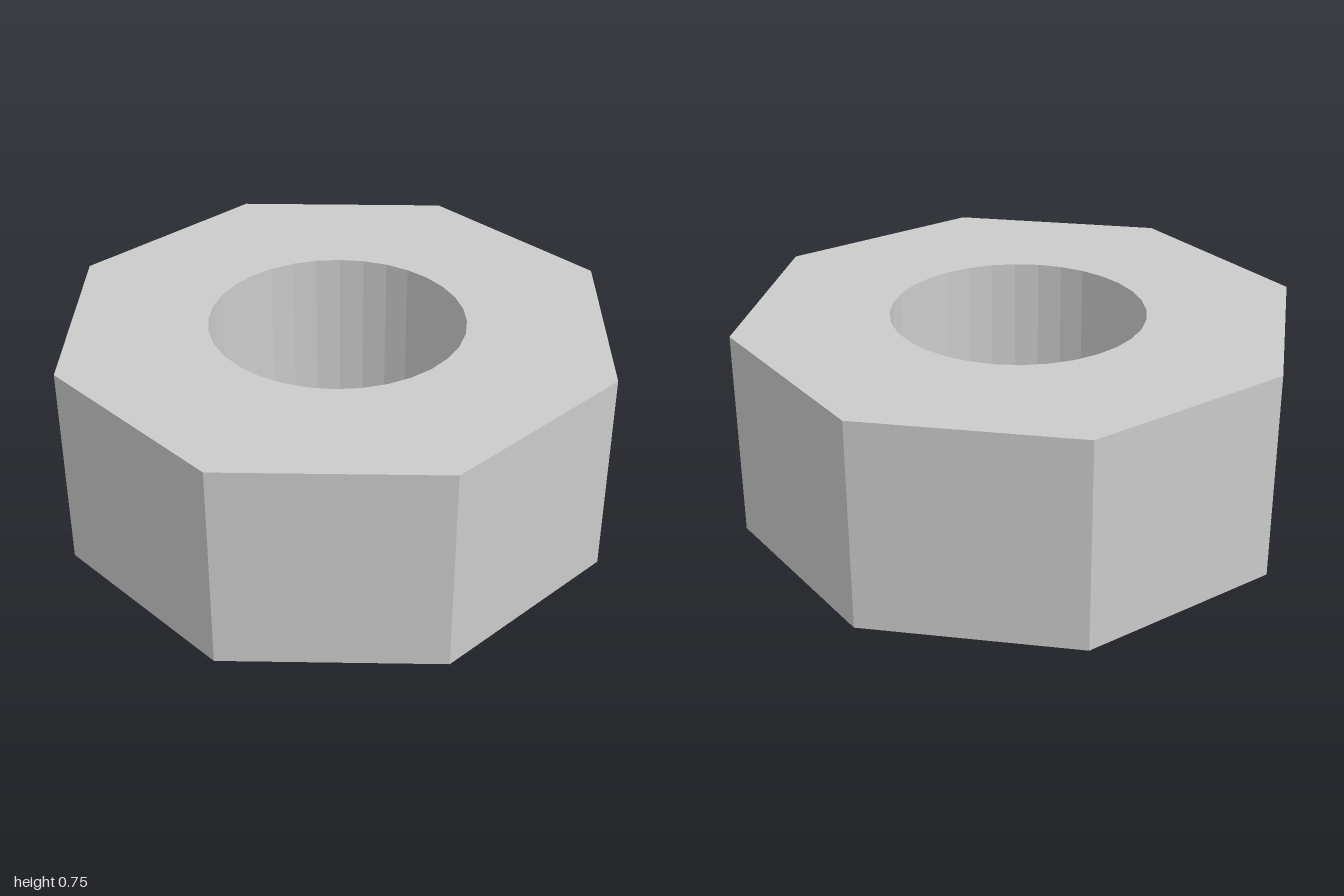
import * as THREE from 'three';

const HEIGHT = 0.75;
const OUTER_RADIUS = 1;
const HOLE_RADIUS = 0.45;

// Corners of a regular polygon, the first one on the x axis
function polygon(radius, sides) {
  return Array.from({ length: sides }, (_, i) => {
    const a = (i / sides) * Math.PI * 2;
    return new THREE.Vector2(radius * Math.cos(a), radius * Math.sin(a));
  });
}

export function createModel() {
  const group = new THREE.Group();
  group.name = 'octagonalNut';

  // Octagonal outline with a round bore
  const outline = new THREE.Shape(polygon(OUTER_RADIUS, 8));
  outline.holes.push(new THREE.Path(polygon(HOLE_RADIUS, 32)));

  // Extruded along z, then laid flat so the height runs up y
  const geometry = new THREE.ExtrudeGeometry(outline, { depth: HEIGHT, bevelEnabled: false });
  geometry.rotateX(-Math.PI / 2);

  const material = new THREE.MeshStandardMaterial({ color: 0xcccccc, flatShading: true });
  const body = new THREE.Mesh(geometry, material);
  body.name = 'nutBody';
  group.add(body);

  return group;
}
